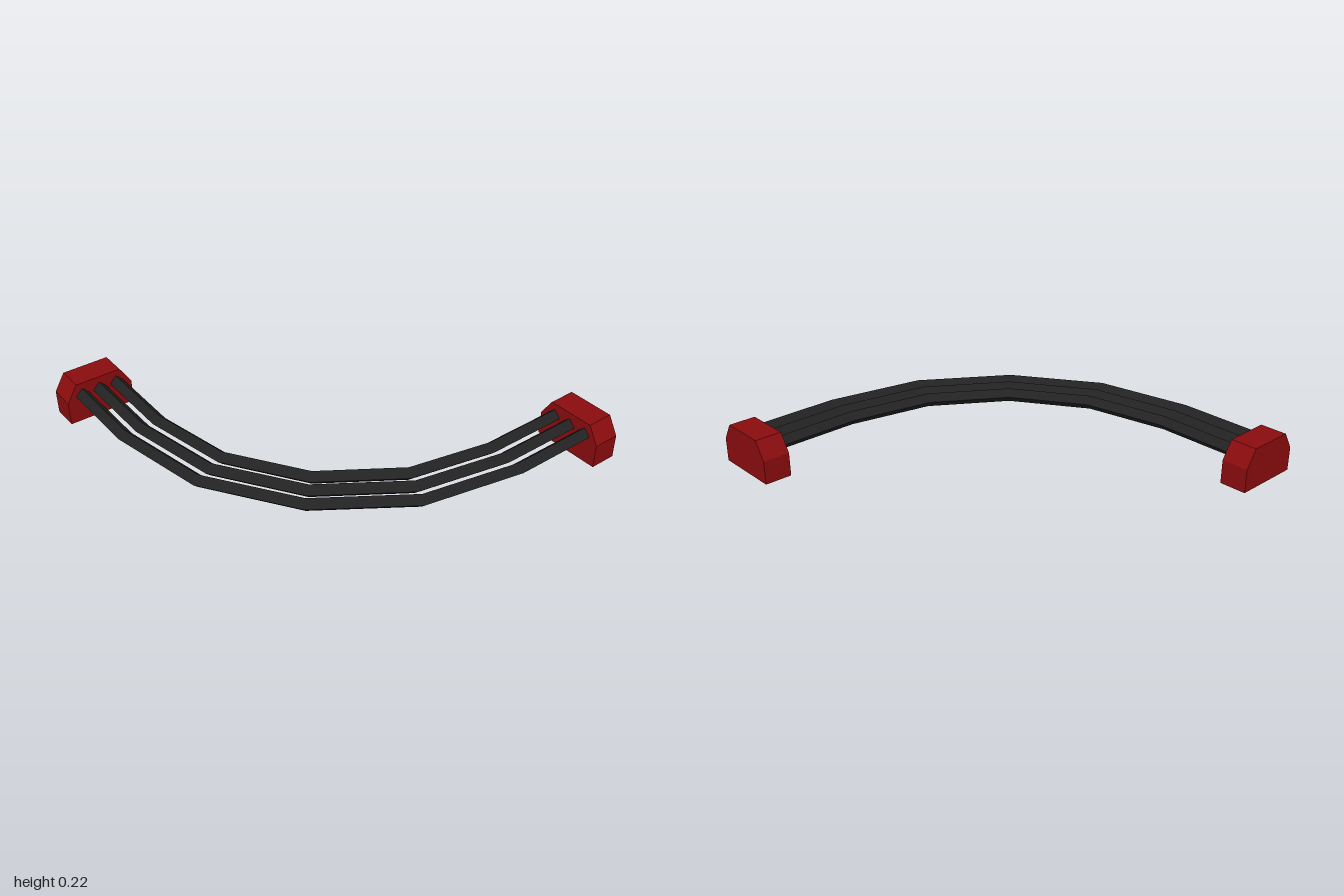
import * as THREE from 'three';

const red = new THREE.MeshStandardMaterial({ color: 0x8b0c0e, flatShading: true });
const black = new THREE.MeshStandardMaterial({ color: 0x222222, flatShading: true });

// Centre line of the middle of each pipe, first half [x, z]; the rest mirrors across the diagonal
function pipePath(half) {
  const mirrored = half.slice(0, -1).reverse().map(([x, z]) => [-z, -x]);
  return [...half, ...mirrored].map(([x, z]) => new THREE.Vector2(x, z));
}

// Square tube standing on its edge, mitred at every bend
function pipeGeometry(path, y, r) {
  const rings = path.map((p, i) => {
    const a = path[Math.max(i - 1, 0)], b = path[Math.min(i + 1, path.length - 1)];
    const into = (i ? p.clone().sub(a) : b.clone().sub(p)).normalize();
    const out = (b === p ? into.clone() : b.clone().sub(p)).normalize();
    const t = into.clone().add(out).normalize();
    const w = r / t.dot(into);
    const nx = -t.y * w, nz = t.x * w;
    return [
      [p.x + nx, y, p.y + nz], [p.x, y + r, p.y],
      [p.x - nx, y, p.y - nz], [p.x, y - r, p.y],
    ];
  });
  const pos = [];
  const quad = (a, b, c, d) => pos.push(...a, ...b, ...c, ...a, ...c, ...d);
  for (let i = 0; i < rings.length - 1; i++) {
    for (let k = 0; k < 4; k++) {
      const n = (k + 1) % 4;
      quad(rings[i][k], rings[i + 1][k], rings[i + 1][n], rings[i][n]);
    }
  }
  // end caps
  const first = rings[0], last = rings[rings.length - 1];
  quad(first[0], first[1], first[2], first[3]);
  quad(last[3], last[2], last[1], last[0]);
  const g = new THREE.BufferGeometry();
  g.setAttribute('position', new THREE.Float32BufferAttribute(pos, 3));
  g.computeVertexNormals();
  return g;
}

// Block with chamfered shoulders, centred on its footprint
function blockGeometry() {
  const s = new THREE.Shape([
    [-0.18, 0], [0.18, 0], [0.18, 0.125], [0.123, 0.218], [-0.123, 0.218], [-0.18, 0.125],
  ].map(([x, y]) => new THREE.Vector2(x, y)));
  return new THREE.ExtrudeGeometry(s, { depth: 0.143, bevelEnabled: false }).translate(0, 0, -0.0715);
}

export function createModel() {
  const group = new THREE.Group();

  // Three parallel curved pipes
  const halves = {
    outerPipe: [[-0.914, -0.93], [-0.914, -0.41], [-0.813, 0.092], [-0.522, 0.522]],
    middlePipe: [[-0.818, -0.93], [-0.818, -0.415], [-0.723, 0.054], [-0.454, 0.454]],
    innerPipe: [[-0.722, -0.93], [-0.722, -0.42], [-0.633, 0.015], [-0.386, 0.386]],
  };
  for (const [name, half] of Object.entries(halves)) {
    const pipe = new THREE.Mesh(pipeGeometry(pipePath(half), 0.15, 0.037), black);
    pipe.name = name;
    group.add(pipe);
  }

  // End blocks
  const block = blockGeometry();
  const back = new THREE.Mesh(block, red);
  back.name = 'backEndBlock';
  back.position.set(-0.82, 0, -0.9285);
  const left = new THREE.Mesh(block, red);
  left.name = 'leftEndBlock';
  left.position.set(0.9285, 0, 0.82);
  left.rotation.y = Math.PI / 2;
  group.add(back, left);

  return group;
}
